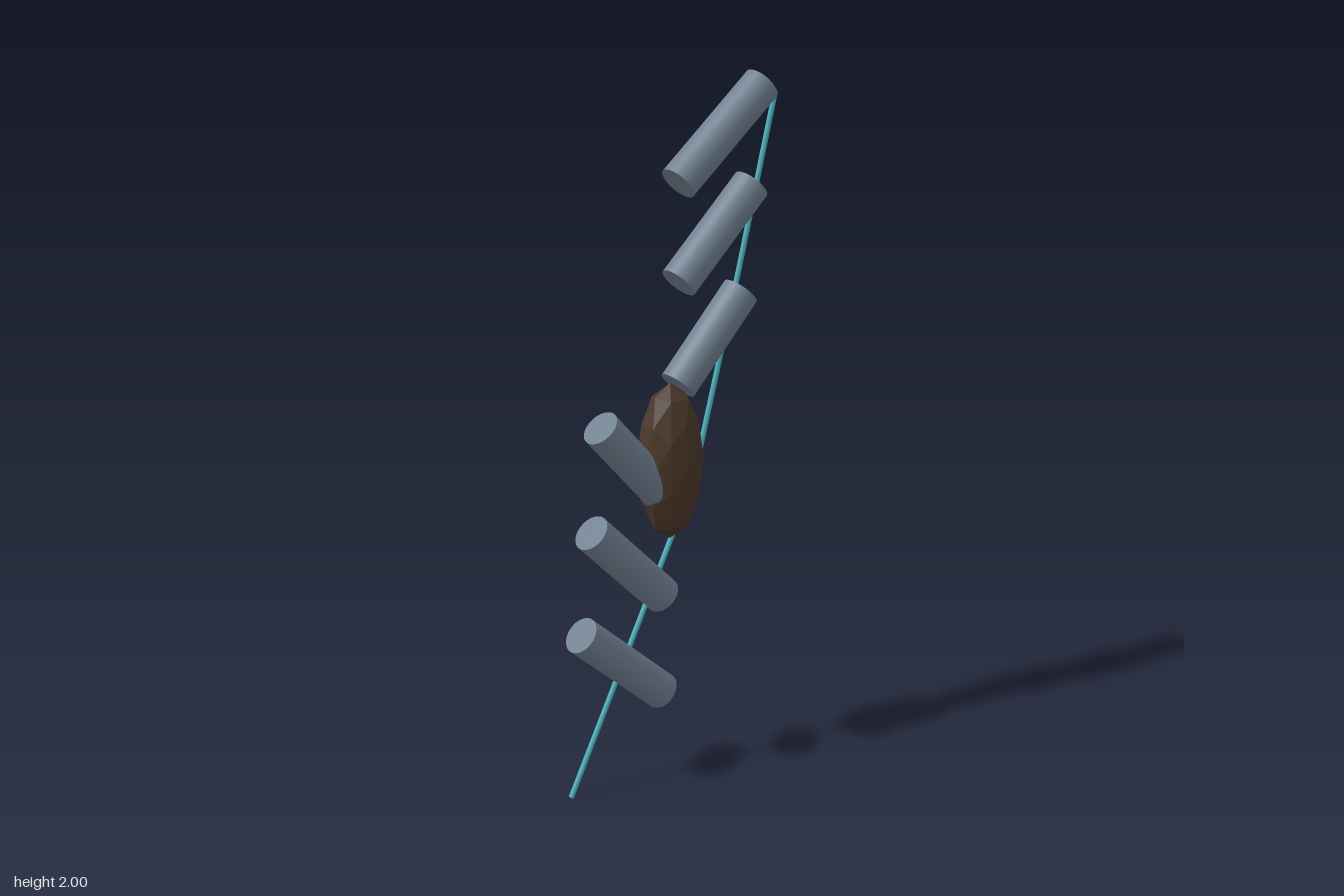
import * as THREE from 'three';

const slate = new THREE.MeshStandardMaterial({ color: 0x708090 });
const teal = new THREE.MeshStandardMaterial({ color: 0x48b0bc });
const brown = new THREE.MeshStandardMaterial({ color: 0x4a3728, flatShading: true });

// Capped cylinder running between two points in the z = 0 plane
function bar(name, [ax, ay], [bx, by], radius, sides, material) {
  const a = new THREE.Vector3(ax, ay, 0);
  const b = new THREE.Vector3(bx, by, 0);
  const dir = b.clone().sub(a);
  const mesh = new THREE.Mesh(new THREE.CylinderGeometry(radius, radius, dir.length(), sides), material);
  mesh.name = name;
  mesh.position.copy(a).add(b).multiplyScalar(0.5);
  mesh.quaternion.setFromUnitVectors(new THREE.Vector3(0, 1, 0), dir.normalize());
  return mesh;
}

export function createModel() {
  const model = new THREE.Group();
  model.name = 'model';

  // Faceted core
  const core = new THREE.Mesh(new THREE.IcosahedronGeometry(1, 1), brown);
  core.name = 'core';
  core.scale.set(0.1, 0.228, 0.087);
  core.position.set(-0.01, 0.932, 0);
  model.add(core);

  // Slanted cylinders: three rising to the left, three to the right
  const cylinders = [
    [[0.018, 1.714], [0.312, 1.958]],
    [[0.02, 1.439], [0.278, 1.683]],
    [[0.018, 1.148], [0.243, 1.384]],
    [[-0.035, 0.838], [-0.251, 1.074]],
    [[-0.038, 0.537], [-0.286, 0.78]],
    [[-0.042, 0.243], [-0.325, 0.487]],
  ];
  cylinders.forEach(([a, b], i) => {
    model.add(bar(i < 3 ? 'upperCylinder' : 'lowerCylinder', a, b, 0.054, 32, slate));
  });

  // Thin string, bending gently through the core
  const string = new THREE.Group();
  string.name = 'string';
  const path = [[0.362, 1.935], [0.235, 1.444], [0.095, 0.935], [0, 0.715], [-0.367, 0.004]];
  for (let i = 1; i < path.length; i++) {
    string.add(bar('stringSegment', path[i - 1], path[i], 0.008, 12, teal));
  }
  model.add(string);

  return model;
}
